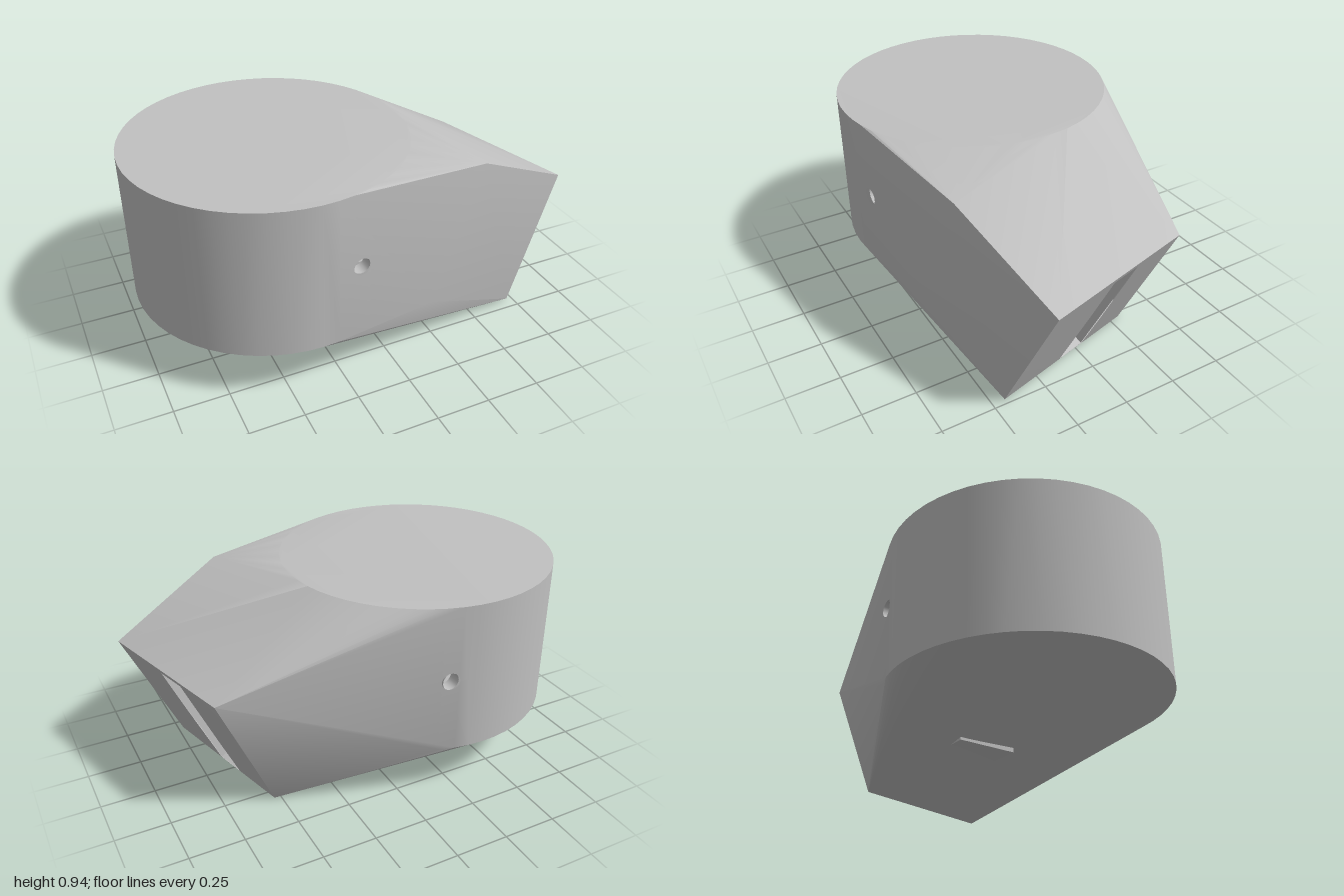
import * as THREE from 'three';
import { toCreasedNormals } from 'three/addons/utils/BufferGeometryUtils.js';
import { ConvexGeometry } from 'three/addons/geometries/ConvexGeometry.js';

const V = (x, y, z) => new THREE.Vector3(x, y, z);
const INWARD = V(-0.535, 0.26, 0.15); // from the slanted plate into the body
const CORNERS = [V(0.998, 0.61, 0.365), V(0.795, 0.61, -0.375), V(0.53, 0, -0.30), V(0.725, 0, 0.44)];
const HOLE = { x: -0.18, y: 0.59, r: 0.04 };

// Hull wrapped around an upright drum and a tilted block
function hull(radius, y0, y1, corners, depth) {
  const points = [];
  for (let i = 0; i < 56; i++) {
    const a = (i / 56) * Math.PI * 2;
    for (const y of [y0, y1]) points.push(V(-0.36 + Math.cos(a) * radius, y, Math.sin(a) * radius));
  }
  for (const c of corners) points.push(c.clone(), c.clone().addScaledVector(INWARD, depth));
  return toCreasedNormals(new ConvexGeometry(points), 0.5);
}

// Split a polygon of [x, y, z, nx, ny, nz] points by a plane
function split(poly, plane) {
  const inside = [], outside = [];
  const dist = (p) => plane.normal.x * p[0] + plane.normal.y * p[1] + plane.normal.z * p[2] + plane.constant;
  poly.forEach((p, i) => {
    const q = poly[(i + 1) % poly.length];
    const a = dist(p), b = dist(q);
    (a >= 0 ? inside : outside).push(p);
    if ((a >= 0) !== (b >= 0)) {
      const m = p.map((v, k) => v + (q[k] - v) * (a / (a - b)));
      inside.push(m);
      outside.push(m);
    }
  });
  return [inside, outside];
}

// Remove convex regions (lists of planes facing inward) from a surface
function cut(geometry, regions, flip) {
  const P = geometry.attributes.position, N = geometry.attributes.normal;
  let polys = [];
  for (let i = 0; i < P.count; i += 3) {
    polys.push([0, 1, 2].map((k) => [P.getX(i + k), P.getY(i + k), P.getZ(i + k),
      N.getX(i + k), N.getY(i + k), N.getZ(i + k)]));
  }
  for (const planes of regions) {
    const kept = [];
    for (const poly of polys) {
      let rest = poly;
      const pieces = [];
      for (const plane of planes) {
        if (rest.length < 3) break;
        const [inside, outside] = split(rest, plane);
        if (outside.length > 2) pieces.push(outside);
        rest = inside;
      }
      if (rest.length < 3) kept.push(poly);
      else kept.push(...pieces);
    }
    polys = kept;
  }
  const pos = [], nor = [], s = flip ? -1 : 1;
  for (const poly of polys) {
    for (let i = 1; i < poly.length - 1; i++) {
      const tri = flip ? [poly[0], poly[i + 1], poly[i]] : [poly[0], poly[i], poly[i + 1]];
      for (const p of tri) {
        pos.push(p[0], p[1], p[2]);
        nor.push(s * p[3], s * p[4], s * p[5]);
      }
    }
  }
  const g = new THREE.BufferGeometry();
  g.setAttribute('position', new THREE.Float32BufferAttribute(pos, 3));
  g.setAttribute('normal', new THREE.Float32BufferAttribute(nor, 3));
  return g;
}

export function createModel() {
  const group = new THREE.Group();
  const grey = new THREE.MeshStandardMaterial({ color: 0xc0c0c0, side: THREE.DoubleSide });
  grey.name = 'light grey';
  const add = (name, geometry) => {
    const mesh = new THREE.Mesh(geometry, grey);
    mesh.name = name;
    group.add(mesh);
    return mesh;
  };

  // Slot outline on the slanted plate
  const slot = [[0.585, 0.035], [0.585, -0.11], [0.002, -0.04], [0.002, 0.105]]
    .map(([y, z]) => V(0.606 + 0.476 * y + 0.27 * z, y, z));
  const middle = slot.reduce((sum, p) => sum.add(p), V(0, 0, 0)).multiplyScalar(0.25);
  const slotRegion = slot.map((p, i) => {
    const normal = slot[(i + 1) % 4].clone().sub(p).cross(INWARD).normalize();
    const plane = new THREE.Plane().setFromNormalAndCoplanarPoint(normal, p);
    return plane.distanceToPoint(middle) < 0 ? plane.negate() : plane;
  });
  const inDir = INWARD.clone().normalize();
  slotRegion.push(new THREE.Plane().setFromNormalAndCoplanarPoint(
    inDir.clone().negate(), middle.clone().addScaledVector(inDir, 0.12)));

  // Round cross hole
  const holeRegion = [];
  for (let i = 0; i < 20; i++) {
    const a = (i / 20) * Math.PI * 2, n = V(-Math.cos(a), -Math.sin(a), 0);
    holeRegion.push(new THREE.Plane().setFromNormalAndCoplanarPoint(
      n, V(HOLE.x, HOLE.y, 0).addScaledVector(n, -HOLE.r)));
  }
  const regions = [slotRegion, holeRegion];

  // Outer shell
  add('outerShell', cut(hull(0.642, 0.24, 0.94, CORNERS, 1), regions, false));

  // Hollow inside, set in from the plate edges
  const [A, B, C, D] = CORNERS;
  const inner = [[0.06, 0.06], [0.94, 0.06], [0.94, 0.97], [0.06, 0.97]].map(([u, v]) =>
    A.clone().lerp(B, u).lerp(D.clone().lerp(C, u), v).addScaledVector(inDir, 0.08));
  add('innerShell', cut(hull(0.59, 0.28, 0.89, inner, 0.8), regions, true));

  // Slot walls through the plate
  const walls = [];
  slot.forEach((p, i) => {
    const q = slot[(i + 1) % 4];
    const p2 = p.clone().addScaledVector(inDir, 0.08), q2 = q.clone().addScaledVector(inDir, 0.08);
    for (const v of [p, p2, q2, p, q2, q]) walls.push(v);
  });
  const wallGeometry = new THREE.BufferGeometry().setFromPoints(walls);
  wallGeometry.computeVertexNormals();
  add('slotWalls', wallGeometry);

  // Linings of the cross hole
  for (const side of [1, -1]) {
    const lining = new THREE.CylinderGeometry(HOLE.r, HOLE.r, 0.06, 20, 1, true).rotateX(Math.PI / 2);
    add(side > 0 ? 'frontHoleLining' : 'backHoleLining', lining).position.set(HOLE.x, HOLE.y, side * 0.585);
  }

  // Small block set into the floor
  add('floorBlock', new THREE.BoxGeometry(0.22, 0.11, 0.29)).position.set(-0.015, 0.145, -0.047);
  return group;
}
